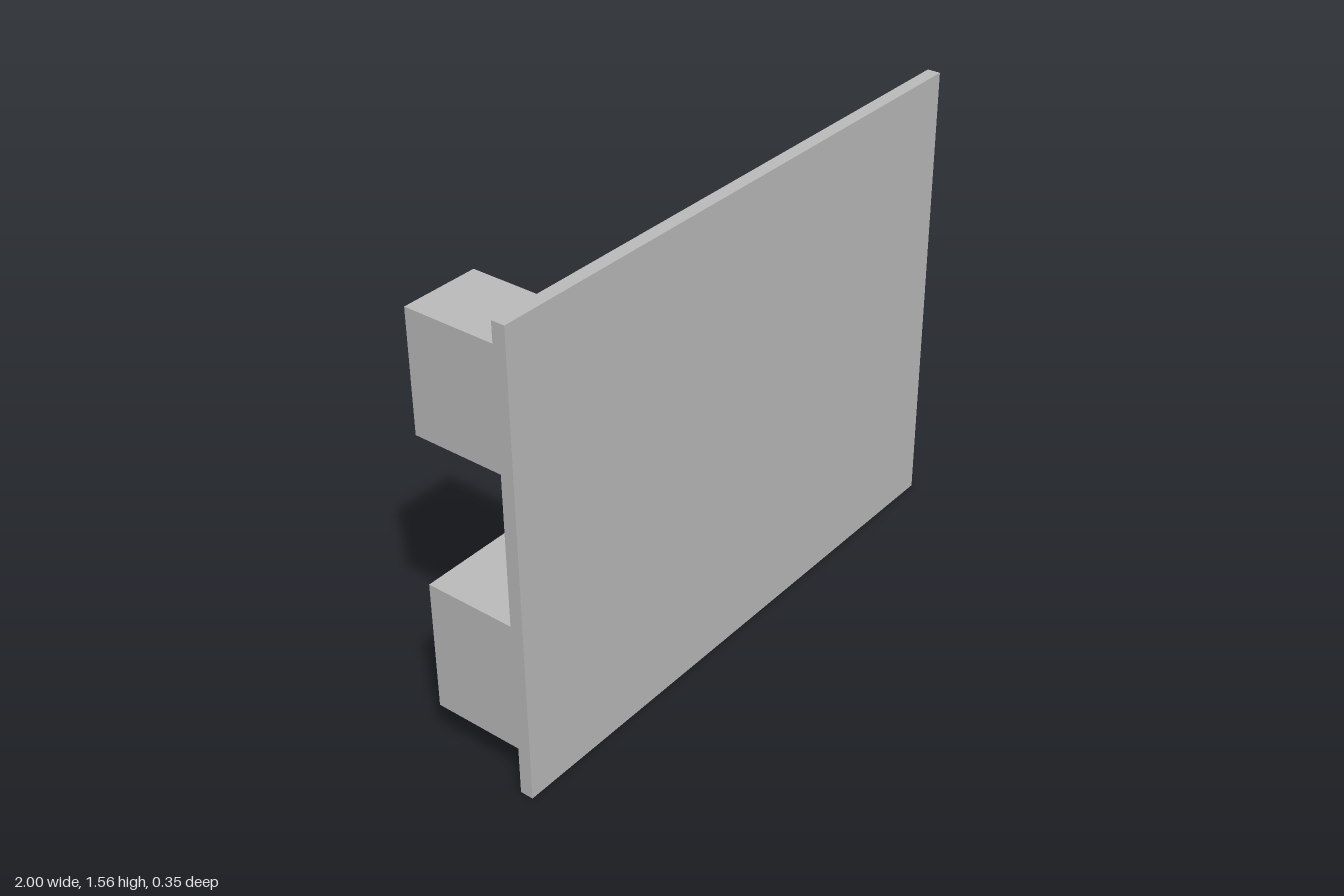
import * as THREE from 'three';

export function createModel() {
  const model = new THREE.Group();
  const grey = new THREE.MeshStandardMaterial({ color: 0xbcbcbc });
  grey.name = 'plain grey';

  // Adds a box from its low and high limits on each axis
  const addBox = (name, [x0, x1], [y0, y1], [z0, z1]) => {
    const mesh = new THREE.Mesh(new THREE.BoxGeometry(x1 - x0, y1 - y0, z1 - z0), grey);
    mesh.position.set((x0 + x1) / 2, (y0 + y1) / 2, (z0 + z1) / 2);
    mesh.name = name;
    model.add(mesh);
  };

  const panelBack = 0.131;

  // Flat front panel
  addBox('frontPanel', [-1, 1], [0, 1.557], [panelBack, 0.175]);

  // Blocks flush with the panel's right edge
  addBox('upperBlock', [-1, -0.743], [1.099, 1.49], [-0.175, panelBack]);
  addBox('lowerBlock', [-1, -0.653], [0.165, 0.602], [-0.175, panelBack]);

  // Long bar with a small tab below its end
  addBox('crossBar', [-0.396, 0.624], [0.478, 0.731], [0.04, panelBack]);
  addBox('smallTab', [-0.483, -0.396], [0.36, 0.478], [0.103, panelBack]);

  // Low shelf near the bottom edge
  addBox('bottomShelf', [-0.374, 0.368], [0.014, 0.087], [-0.116, panelBack]);

  return model;
}
